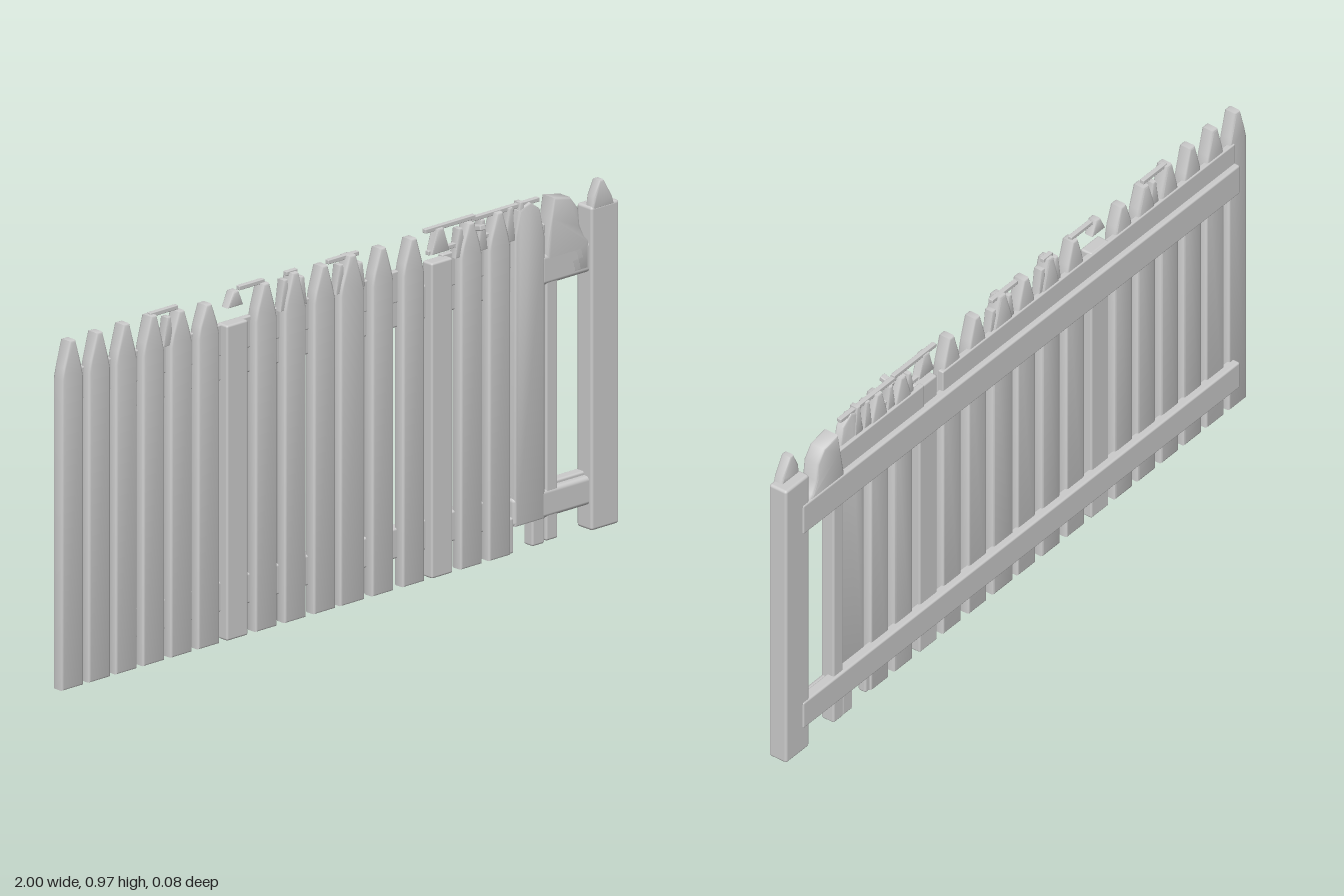
import * as THREE from 'three';
import { toCreasedNormals } from 'three/addons/utils/BufferGeometryUtils.js';
import { RoundedBoxGeometry } from 'three/addons/geometries/RoundedBoxGeometry.js';

export function createModel() {
  const fence = new THREE.Group();
  fence.name = 'fence';
  const paint = new THREE.MeshStandardMaterial({ color: 0xcccccc });
  paint.name = 'pale grey paint';

  const add = (name, geometry) => {
    const mesh = new THREE.Mesh(geometry, paint);
    mesh.name = name;
    fence.add(mesh);
    return mesh;
  };

  // Box given by its limits, with softened edges
  const block = (name, x0, x1, y0, y1, z0, z1, r = 0.006) => {
    const mesh = add(name, new RoundedBoxGeometry(x1 - x0, y1 - y0, z1 - z0, 2, r));
    mesh.position.set((x0 + x1) / 2, (y0 + y1) / 2, (z0 + z1) / 2);
    return mesh;
  };

  // Bevelled slab with an outline in x and y
  const slab = (name, points, z0, z1, b = 0.006) => {
    const geometry = new THREE.ExtrudeGeometry(
      new THREE.Shape(points.map(([x, y]) => new THREE.Vector2(x, y))),
      { depth: z1 - z0 - 2 * b, bevelThickness: b, bevelSize: b, bevelOffset: -b, bevelSegments: 2 });
    geometry.translate(0, 0, z0 + b);
    return add(name, toCreasedNormals(geometry, 0.9));
  };

  const picketOutline = (x, w, top, y0 = 0, shoulder = 0.865) => [
    [x - w, y0], [x + w, y0], [x + w, shoulder], [x + w * 0.8, shoulder + 0.035],
    [x + w * 0.28, top], [x - w * 0.28, top], [x - w * 0.8, shoulder + 0.035], [x - w, shoulder],
  ];

  // Row of pointed pickets
  const tops = [0.97, 0.97, 0.97, 0.97, 0.96, 0.955, 0, 0.965, 0.97, 0.965, 0.97, 0.965, 0.965, 0, 0.96, 0.965];
  const centres = [-0.962, -0.865, -0.768, -0.67, -0.57, -0.472, -0.37, -0.265, -0.16,
    -0.055, 0.045, 0.155, 0.265, 0.367, 0.473, 0.575];
  centres.forEach((x, i) => {
    const w = i === 10 ? 0.043 : 0.038;
    if (tops[i]) slab('picket', picketOutline(x, w, tops[i]), -0.018, 0.02);
    else block('broken picket', x - w, x + w, 0, 0.88, -0.018, 0.02);
  });

  // Loose tips above the broken pickets
  slab('looseTip', [[-0.4, 0.925], [-0.345, 0.925], [-0.362, 0.968], [-0.38, 0.968]], -0.012, 0.016, 0.004);
  slab('looseTip', [[0.335, 0.9], [0.4, 0.9], [0.378, 0.968], [0.355, 0.968]], -0.012, 0.014, 0.004);

  // Back rails and the thin web above the upper one
  block('upperRail', -0.945, 0.93, 0.72, 0.815, -0.038, -0.006);
  block('lowerRail', -0.945, 0.93, 0.075, 0.16, -0.038, -0.006);
  block('upperWeb', -0.945, 0.31, 0.79, 0.878, -0.022, -0.004, 0.004);
  block('upperWeb', 0.39, 0.76, 0.79, 0.885, -0.022, -0.004, 0.004);

  // End post with its small cap
  block('endPost', 0.9, 1, 0, 0.903, -0.035, 0.024, 0.008);
  slab('postCap', [[0.905, 0.895], [0.982, 0.895], [0.975, 0.92], [0.945, 0.972], [0.93, 0.972], [0.91, 0.93]],
    -0.006, 0.024, 0.005);

  // Joints between rails and end post
  block('railJoint', 0.73, 0.92, 0.72, 0.805, -0.035, 0.014, 0.012);
  block('railJoint', 0.63, 0.92, 0.07, 0.15, -0.035, 0.014, 0.012);

  // Uneven boards beside the opening
  slab('wideBoard', [[0.635, 0.07], [0.742, 0.07], [0.742, 0.86], [0.725, 0.94], [0.69, 0.965], [0.65, 0.95],
    [0.635, 0.88]], -0.012, 0.014);
  block('narrowBoard', 0.748, 0.79, 0.005, 0.8, -0.03, 0.012);
  block('boardFoot', 0.7, 0.745, 0, 0.1, -0.025, 0.01);
  block('boardFoot', 0.605, 0.63, 0, 0.1, -0.012, 0.014);
  slab('shortBoard', [[0.75, 0.73], [0.9, 0.73], [0.9, 0.81], [0.885, 0.825], [0.868, 0.86], [0.862, 0.91],
    [0.835, 0.945], [0.775, 0.957], [0.765, 0.9], [0.75, 0.82]], -0.035, 0.014);

  // Thin strips and splinters along the top
  for (const [x0, x1, y] of [[-0.67, -0.57, 0.968], [-0.35, -0.26, 0.968], [-0.18, -0.14, 0.968], [-0.03, 0.08, 0.965],
    [0.32, 0.5, 0.968], [0.49, 0.73, 0.962], [0.33, 0.62, 0.905]]) {
    block('topStrip', x0, x1, y - 0.006, y + 0.006, -0.008, 0.006, 0.002);
  }
  for (const [x, h] of [[-0.61, 0.95], [-0.19, 0.955], [-0.13, 0.95], [0.01, 0.95], [0.08, 0.94], [0.44, 0.95],
    [0.52, 0.955], [0.62, 0.965], [0.66, 0.972]]) {
    slab('splinter', [[x - 0.018, 0.87], [x + 0.018, 0.87], [x + 0.008, h], [x - 0.006, h]], -0.014, 0.012, 0.003);
  }
  const chip = block('forwardSplinter', 0.485, 0.505, 0.935, 0.95, 0, 0.04, 0.003);
  chip.rotation.x = -0.25;

  return fence;
}
